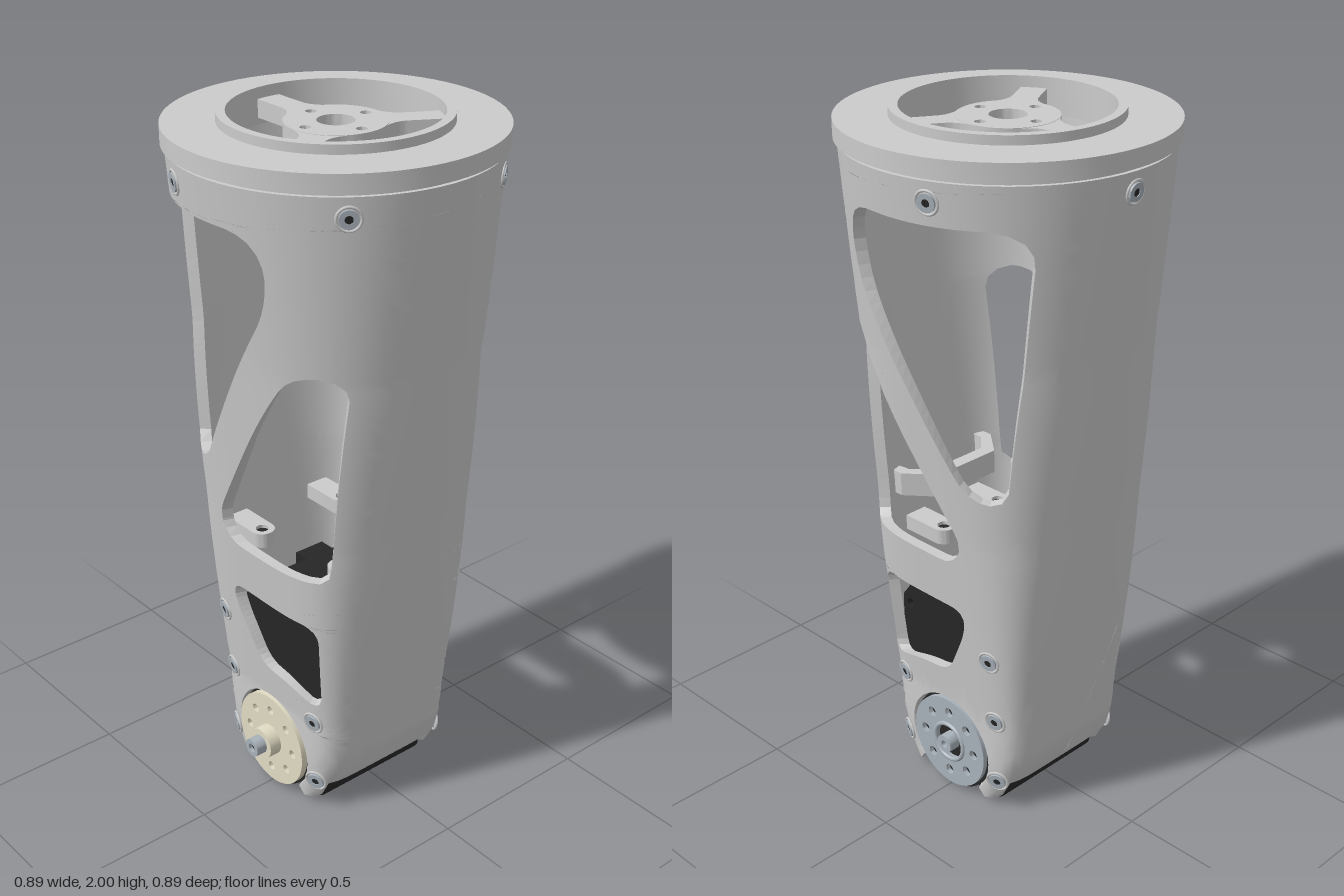
import * as THREE from 'three';
import { RoundedBoxGeometry } from 'three/addons/geometries/RoundedBoxGeometry.js';
import { toCreasedNormals } from 'three/addons/utils/BufferGeometryUtils.js';

const PI = Math.PI;
const grey = new THREE.MeshStandardMaterial({ color: 0xcccccc });
const black = new THREE.MeshStandardMaterial({ color: 0x262626 });
const cream = new THREE.MeshStandardMaterial({ color: 0xe2dcc4 });
const steel = new THREE.MeshStandardMaterial({ color: 0xa9b2ba });

function add(parent, name, geo, mat, x = 0, y = 0, z = 0) {
  const m = new THREE.Mesh(geo, mat);
  m.name = name;
  m.position.set(x, y, z);
  parent.add(m);
  return m;
}

// Piecewise linear lookup in [height, value] pairs
function lookup(t, y) {
  let i = 1;
  while (i < t.length - 1 && y > t[i][0]) i++;
  const [y0, v0] = t[i - 1], [y1, v1] = t[i];
  return v0 + (v1 - v0) * (y - y0) / (y1 - y0);
}
// Shell section: half width, half depth and squareness at each height
const halfX = y => lookup([[0, 0.165], [0.05, 0.2], [0.1, 0.228], [0.17, 0.25], [0.3, 0.267], [1.915, 0.437]], y);
const halfZ = y => lookup([[0, 0.24], [0.3, 0.245], [1.915, 0.437]], y);
const power = y => lookup([[0, 7], [0.3, 5.5], [0.9, 3.2], [1.4, 2.3], [1.915, 2]], y);

// Point on the shell; phi = 0 is the front, phi = PI / 2 is +x
function shellPoint(phi, y, inset = 0) {
  const n = power(y), s = Math.sin(phi), c = Math.cos(phi);
  const r = Math.pow(Math.abs(s / halfX(y)) ** n + Math.abs(c / halfZ(y)) ** n, -1 / n) - inset;
  return new THREE.Vector3(r * s, y, r * c);
}
function shellNormal(phi, y) {
  const e = 0.01;
  const du = shellPoint(phi + e, y).sub(shellPoint(phi - e, y));
  const dv = shellPoint(phi, y + e).sub(shellPoint(phi, y - e));
  return du.cross(dv).normalize();
}
function phiAt(x, y) {
  const n = power(y), q = Math.min(Math.abs(x) / halfX(y), 0.999);
  return Math.atan2(x, halfZ(y) * Math.pow(1 - q ** n, 1 / n));
}

// Evenly sampled polygon with rounded corners, from [x, y, radius]
function roundedOutline(corners) {
  const path = new THREE.Path();
  const v = corners.map(c => new THREE.Vector2(c[0], c[1]));
  v.forEach((p, i) => {
    const a = v[(i + v.length - 1) % v.length], b = v[(i + 1) % v.length], r = corners[i][2];
    const s = p.clone().add(a.clone().sub(p).setLength(r)), e = p.clone().add(b.clone().sub(p).setLength(r));
    if (i) path.lineTo(s.x, s.y); else path.moveTo(s.x, s.y);
    path.quadraticCurveTo(p.x, p.y, e.x, e.y);
  });
  path.closePath();
  return path.getSpacedPoints(64).slice(0, -1);
}

const windows = [
  [[-0.35, 1.8, 0.1], [0.18, 1.8, 0.12], [0.18, 1.61, 0.09], [-0.17, 1.035, 0.07], [-0.265, 1.035, 0.05]],
  [[0.215, 1.43, 0.06], [0.33, 1.43, 0.07], [0.268, 0.81, 0.035], [-0.1, 0.81, 0.06], [-0.13, 0.89, 0.04]],
  [[-0.12, 0.66, 0.06], [0.235, 0.66, 0.06], [0.22, 0.37, 0.045], [0.1, 0.405, 0.05], [-0.02, 0.415, 0.05], [-0.1, 0.575, 0.04]],
];

// Tapered shell: an unrolled sheet with openings, split finely and wrapped round
function shellGeometry() {
  const K = 0.35, T = 0.032;
  const half = [];
  for (let i = 0; i <= 16; i++) {
    const t = i / 16 * 2.3, x = 0.157 * Math.sin(t), y = 0.15 + 0.157 * Math.cos(t);
    half.push([phiAt(x, y), y]);
  }
  half.push([phiAt(0.135, 0.02), 0.02], [phiAt(0.16, 0.015), 0.015], [0.72, 0.03], [0.8, 0.09], [PI / 2, 0.09]);
  const front = [...half.slice(1).reverse().map(p => [-p[0], p[1]]), ...half];
  const back = front.slice(0, -1).reverse().map(p => [PI - p[0], p[1]]);
  const edge = [...front, ...back, [1.5 * PI, 1.915], [-PI / 2, 1.915]];
  const shape = new THREE.Shape(edge.map(p => new THREE.Vector2(p[0] * K, p[1])));
  for (const w of windows) {
    const pts = roundedOutline(w).map(p => [phiAt(p.x, p.y), p.y]);
    shape.holes.push(new THREE.Path(pts.map(p => new THREE.Vector2(p[0] * K, p[1]))));
    shape.holes.push(new THREE.Path(pts.map(p => new THREE.Vector2((PI - p[0]) * K, p[1]))));
  }
  const src = new THREE.ExtrudeGeometry(shape, { depth: T, bevelEnabled: false });
  const sp = src.attributes.position, sn = src.attributes.normal;
  // The wall curves mostly around, so height counts half when splitting
  const span = (a, b) => Math.hypot(a.x - b.x, (a.y - b.y) * 0.5, a.z - b.z);
  const pos = [], nor = [];
  for (let i = 0; i < sp.count; i += 3) {
    const side = sn.getZ(i);
    const stack = [[0, 1, 2].map(j => new THREE.Vector3().fromBufferAttribute(sp, i + j))];
    while (stack.length) {
      const t = stack.pop();
      const d = t.map((p, j) => span(p, t[(j + 1) % 3]));
      const m = d.indexOf(Math.max(...d));
      if (d[m] > 0.055) {
        const a = t[m], b = t[(m + 1) % 3], c = t[(m + 2) % 3], mid = a.clone().add(b).multiplyScalar(0.5);
        stack.push([a, mid, c], [mid, b, c]);
        continue;
      }
      const w = t.map(p => shellPoint(p.x / K, p.y, T - p.z));
      const face = w[1].clone().sub(w[0]).cross(w[2].clone().sub(w[0])).normalize();
      w.forEach((p, j) => {
        pos.push(p.x, p.y, p.z);
        const n = Math.abs(side) > 0.5 ? shellNormal(t[j].x / K, t[j].y).multiplyScalar(Math.sign(side)) : face;
        nor.push(n.x, n.y, n.z);
      });
    }
  }
  const g = new THREE.BufferGeometry();
  g.setAttribute('position', new THREE.Float32BufferAttribute(pos, 3));
  g.setAttribute('normal', new THREE.Float32BufferAttribute(nor, 3));
  return g;
}

const circle = (x, y, r) => new THREE.Path().absarc(x, y, r, 0, 2 * PI, true);
function extrude(shape, depth, curveSegments = 12) {
  return toCreasedNormals(new THREE.ExtrudeGeometry(shape, { depth, bevelEnabled: false, curveSegments }), 0.6);
}
// Disc facing +z with a centre hole and a ring of small holes
function disc(r, centre, count, ring, small, depth) {
  const s = new THREE.Shape().absarc(0, 0, r, 0, 2 * PI);
  if (centre) s.holes.push(circle(0, 0, centre));
  for (let i = 0; i < count; i++) {
    const a = i / count * 2 * PI;
    s.holes.push(circle(ring * Math.cos(a), ring * Math.sin(a), small));
  }
  return extrude(s, depth, r > 0.1 ? 24 : 12);
}
const rod = (r, h, n = 32) => new THREE.CylinderGeometry(r, r, h, n).rotateX(PI / 2);
const polygon = pts => new THREE.Shape(pts.map(p => new THREE.Vector2(...p)));

// Socket head screw sitting on the shell
function screw(parent, phi, y) {
  const g = new THREE.Group();
  g.name = 'screw';
  g.position.copy(shellPoint(phi, y));
  g.lookAt(g.position.clone().add(shellNormal(phi, y)));
  add(g, 'screwSeat', new THREE.TorusGeometry(0.031, 0.004, 6, 24), grey);
  add(g, 'screwHead', disc(0.025, 0.011, 0, 0, 0, 0.006), steel);
  add(g, 'screwSocket', rod(0.012, 0.004, 6), black, 0, 0, 0.002);
  parent.add(g);
}

export function createModel() {
  const model = new THREE.Group();
  add(model, 'shell', shellGeometry(), grey);

  // Top cap with raised lip
  const profile = [[0.28, 1.9], [0.425, 1.9], [0.425, 1.925], [0.447, 1.925], [0.447, 1.975], [0.305, 1.975], [0.305, 2], [0.28, 2], [0.28, 1.9]];
  const cap = new THREE.LatheGeometry(profile.map(p => new THREE.Vector2(...p)), 80);
  add(model, 'topRing', toCreasedNormals(cap, 0.6), grey);

  // Hub and three flared spokes
  const hub = add(model, 'hub', disc(0.136, 0.05, 4, 0.1, 0.015, 0.05), grey, 0, 1.92, 0);
  hub.rotation.x = -PI / 2;
  const spokeShape = new THREE.Shape();
  spokeShape.moveTo(0.29, -0.036);
  spokeShape.lineTo(0.29, 0.036);
  spokeShape.lineTo(0.18, 0.036);
  spokeShape.quadraticCurveTo(0.14, 0.036, 0.108, 0.082);
  spokeShape.lineTo(0.118, 0);
  spokeShape.lineTo(0.108, -0.082);
  spokeShape.quadraticCurveTo(0.14, -0.036, 0.18, -0.036);
  for (const a of [PI / 3, PI, -PI / 3]) {
    const spoke = add(model, 'spoke', extrude(spokeShape, 0.05), grey, 0, 1.919, 0);
    spoke.rotation.set(-PI / 2, 0, a);
  }

  // Mounting ears inside the shell
  const ear = new THREE.Shape();
  ear.absarc(0, 0, 0.036, -PI / 2, PI / 2);
  ear.lineTo(-0.12, 0.036);
  ear.lineTo(-0.12, -0.036);
  ear.holes.push(circle(0, 0, 0.019));
  for (const s of [-1, 1]) {
    for (const [x, z, turn] of [[-0.15, 0.15, 0], [0.15, 0.11, PI]]) {
      const m = add(model, 'mountEar', extrude(ear, 0.045), grey, x, 0.72, s * z);
      m.rotation.set(-PI / 2, 0, turn);
      add(model, 'earScrew', new THREE.CylinderGeometry(0.019, 0.019, 0.03, 20), black, x, 0.74, s * z);
    }
  }

  // Bent cable guide on the inner +x wall
  const guide = polygon([[0.29, -0.18], [0.25, -0.18], [0.165, -0.11], [0.165, 0.11], [0.25, 0.18], [0.29, 0.18],
    [0.29, 0.15], [0.255, 0.145], [0.205, 0.095], [0.205, -0.095], [0.255, -0.145], [0.29, -0.15]]);
  add(model, 'cableGuide', extrude(guide, 0.07), grey, 0, 0.85, 0).rotation.x = -PI / 2;

  // Servo body: lower block, upper block with a cut corner, round drum
  add(model, 'servoBase', new RoundedBoxGeometry(0.33, 0.4, 0.4, 3, 0.02), black, 0, 0.2, 0);
  const top = polygon([[-0.16, 0.33], [0.2, 0.33], [0.22, 0.38], [0.22, 0.55], [0.16, 0.63], [-0.11, 0.63], [-0.16, 0.56]]);
  for (const [x, y] of [[-0.095, 0.6], [0.1, 0.6], [0.19, 0.53]]) top.holes.push(circle(x, y, 0.014));
  add(model, 'servoTop', extrude(top, 0.42), black, 0, 0, -0.21);
  add(model, 'servoFlange', new THREE.BoxGeometry(0.06, 0.22, 0.1), black, -0.18, 0.48, -0.07);
  add(model, 'servoDrum', rod(0.152, 0.46, 64), black, 0, 0.153, 0);

  // Front output disc, boss and bolt
  add(model, 'frontHorn', disc(0.145, 0, 8, 0.1, 0.013, 0.02), cream, 0, 0.153, 0.23);
  add(model, 'frontBoss', rod(0.047, 0.045), cream, 0, 0.153, 0.265);
  add(model, 'frontBolt', disc(0.028, 0.014, 0, 0, 0, 0.045), steel, 0, 0.153, 0.277);
  add(model, 'frontBoltSocket', rod(0.015, 0.02, 6), black, 0, 0.153, 0.3);

  // Rear idler disc
  const rear = new THREE.Group();
  rear.name = 'rearHorn';
  rear.position.set(0, 0.153, 0);
  rear.rotation.y = PI;
  add(rear, 'rearDisc', disc(0.143, 0.055, 8, 0.1, 0.015, 0.015), steel, 0, 0, 0.23);
  add(rear, 'rearRim', new THREE.TorusGeometry(0.058, 0.007, 8, 36), steel, 0, 0, 0.245);
  add(rear, 'rearBolt', disc(0.028, 0.012, 0, 0, 0, 0.04), steel, 0, 0, 0.226);
  model.add(rear);

  // Screws: five round the collar, five on each lower face
  for (let i = 0; i < 5; i++) screw(model, -PI / 2 + i * 2 * PI / 5, 1.86);
  for (const [x, y] of [[-0.185, 0.52], [-0.185, 0.31], [0.185, 0.31], [-0.185, 0.1], [0.185, 0.1]]) {
    const p = phiAt(x, y);
    screw(model, p, y);
    screw(model, PI - p, y);
  }
  return model;
}
